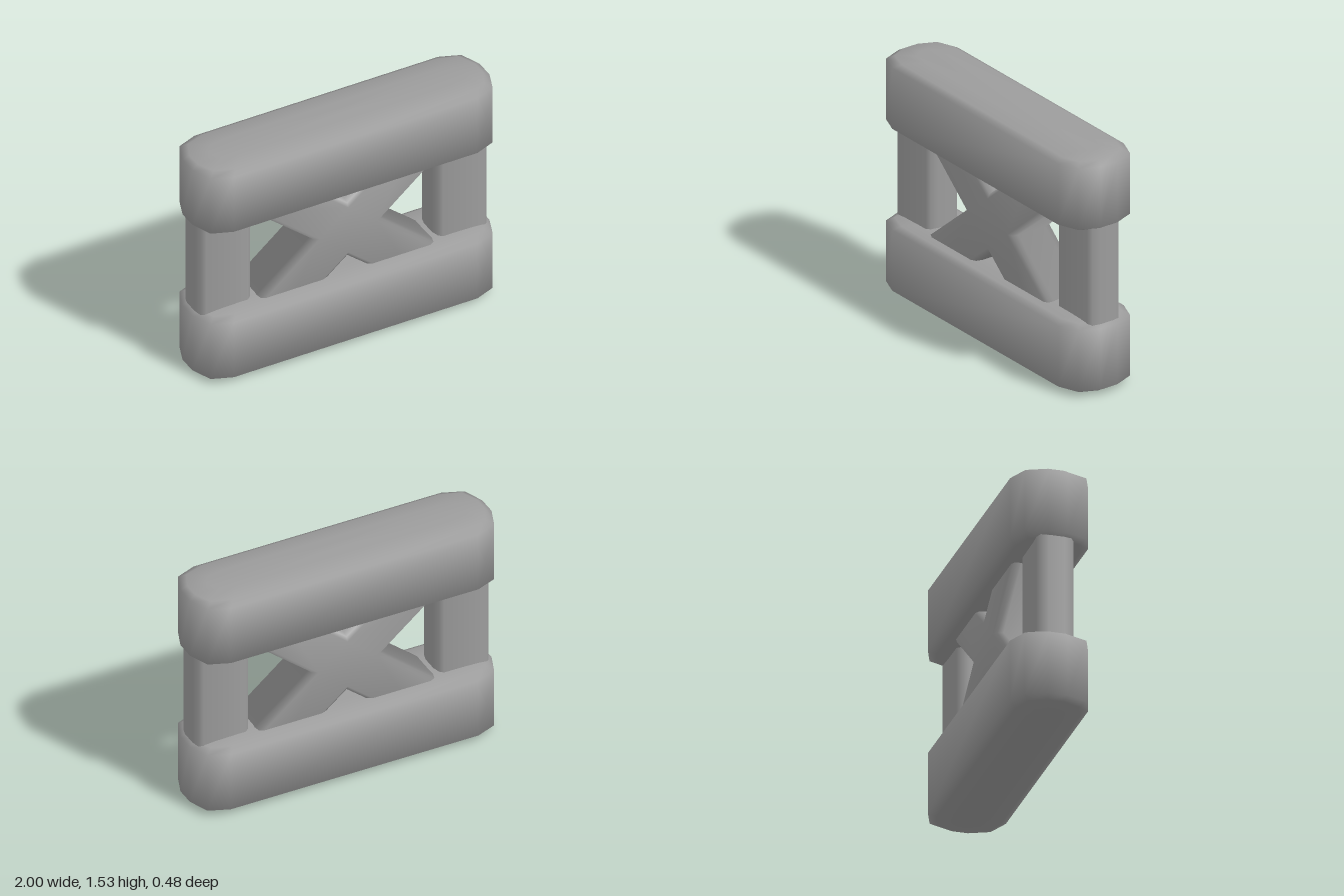
import * as THREE from 'three';
import { mergeVertices } from 'three/addons/utils/BufferGeometryUtils.js';

const material = new THREE.MeshStandardMaterial({ color: 0x9c9c9c });

// Soft shading: vertex normals average the faces around, weighted by corner angle
function soften(geometry) {
  const position = geometry.attributes.position;
  const index = geometry.index.array;
  const sums = Array.from({ length: position.count }, () => new THREE.Vector3());
  for (let f = 0; f < index.length; f += 3) {
    const ids = [index[f], index[f + 1], index[f + 2]];
    const p = ids.map((i) => new THREE.Vector3().fromBufferAttribute(position, i));
    const normal = new THREE.Triangle(...p).getNormal(new THREE.Vector3());
    ids.forEach((id, k) => {
      const toNext = p[(k + 1) % 3].clone().sub(p[k]);
      const toPrevious = p[(k + 2) % 3].clone().sub(p[k]);
      sums[id].addScaledVector(normal, toNext.angleTo(toPrevious));
    });
  }
  const normals = sums.flatMap((v) => v.normalize().toArray());
  geometry.setAttribute('normal', new THREE.Float32BufferAttribute(normals, 3));
  return geometry;
}

// Bar along y with a bevelled section. corner: [x, z] points of one quadrant,
// from the x side to the z side. rings: [y, xScale, zScale] from bottom to top;
// a ring of scale 0 closes an end and a repeated ring keeps its edge sharp.
function bevelledBar(corner, rings) {
  const back = [...corner].reverse();
  const outline = [
    ...corner,
    ...back.map(([x, z]) => [-x, z]),
    ...corner.map(([x, z]) => [-x, -z]),
    ...back.map(([x, z]) => [x, -z]),
  ];
  const n = outline.length;
  const positions = [];
  const index = [];
  for (const [y, sx, sz] of rings) {
    for (const [x, z] of outline) positions.push(x * sx, y, z * sz);
  }
  for (let r = 0; r < rings.length - 1; r++) {
    for (let i = 0; i < n; i++) {
      const a = r * n + i;
      const b = r * n + ((i + 1) % n);
      index.push(a, a + n, b, b, a + n, b + n);
    }
  }
  const geometry = new THREE.BufferGeometry();
  geometry.setAttribute('position', new THREE.Float32BufferAttribute(positions, 3));
  geometry.setIndex(index);
  return soften(geometry);
}

// One-piece cross with bevelled edges
function crossBrace() {
  const quarter = [[0.235, 0], [0.67, 0.36], [0.48, 0.596], [0, 0.2]];
  const arms = [[0.48, 0.596], [0.67, 0.36]];
  const points = [
    ...quarter,
    ...arms.map(([x, y]) => [-x, y]),
    [-0.235, 0],
    ...[...arms].reverse().map(([x, y]) => [-x, -y]),
    [0, -0.2],
    ...arms.map(([x, y]) => [x, -y]),
  ];
  const shape = new THREE.Shape(points.map(([x, y]) => new THREE.Vector2(x, y)));
  const geometry = new THREE.ExtrudeGeometry(shape, {
    depth: 0.2,
    bevelThickness: 0.05,
    bevelSize: 0.03,
    bevelOffset: -0.03,
    bevelSegments: 2,
  });
  geometry.translate(0, 0, -0.1);
  geometry.deleteAttribute('normal');
  geometry.deleteAttribute('uv');
  return soften(mergeVertices(geometry));
}

export function createModel() {
  const group = new THREE.Group();
  const add = (name, geometry, x, y) => {
    const mesh = new THREE.Mesh(geometry, material);
    mesh.name = name;
    mesh.position.set(x, y, 0);
    group.add(mesh);
  };

  // Heavy bottom and top beams with softened edges
  const beam = bevelledBar(
    [[1, 0.06], [0.95, 0.19], [0.82, 0.24]],
    [[0, 0, 0], [0.003, 0.85, 0.35], [0.015, 0.96, 0.82], [0.04, 1, 1],
      [0.435, 1, 1], [0.46, 0.96, 0.82], [0.472, 0.85, 0.35], [0.475, 0, 0]],
  );
  add('bottomBeam', beam, 0, 0);
  add('topBeam', beam, 0, 1.055);

  // Upright posts near both ends
  const post = bevelledBar(
    [[0.178, 0.05], [0.165, 0.095], [0.14, 0.115]],
    [[-0.42, 0, 0], [-0.42, 1, 1], [-0.42, 1, 1],
      [0.42, 1, 1], [0.42, 1, 1], [0.42, 0, 0]],
  );
  add('leftPost', post, 0.797, 0.765);
  add('rightPost', post, -0.797, 0.765);

  // Crossed diagonals, their ends buried in the beams
  add('crossBrace', crossBrace(), 0, 0.765);

  return group;
}
